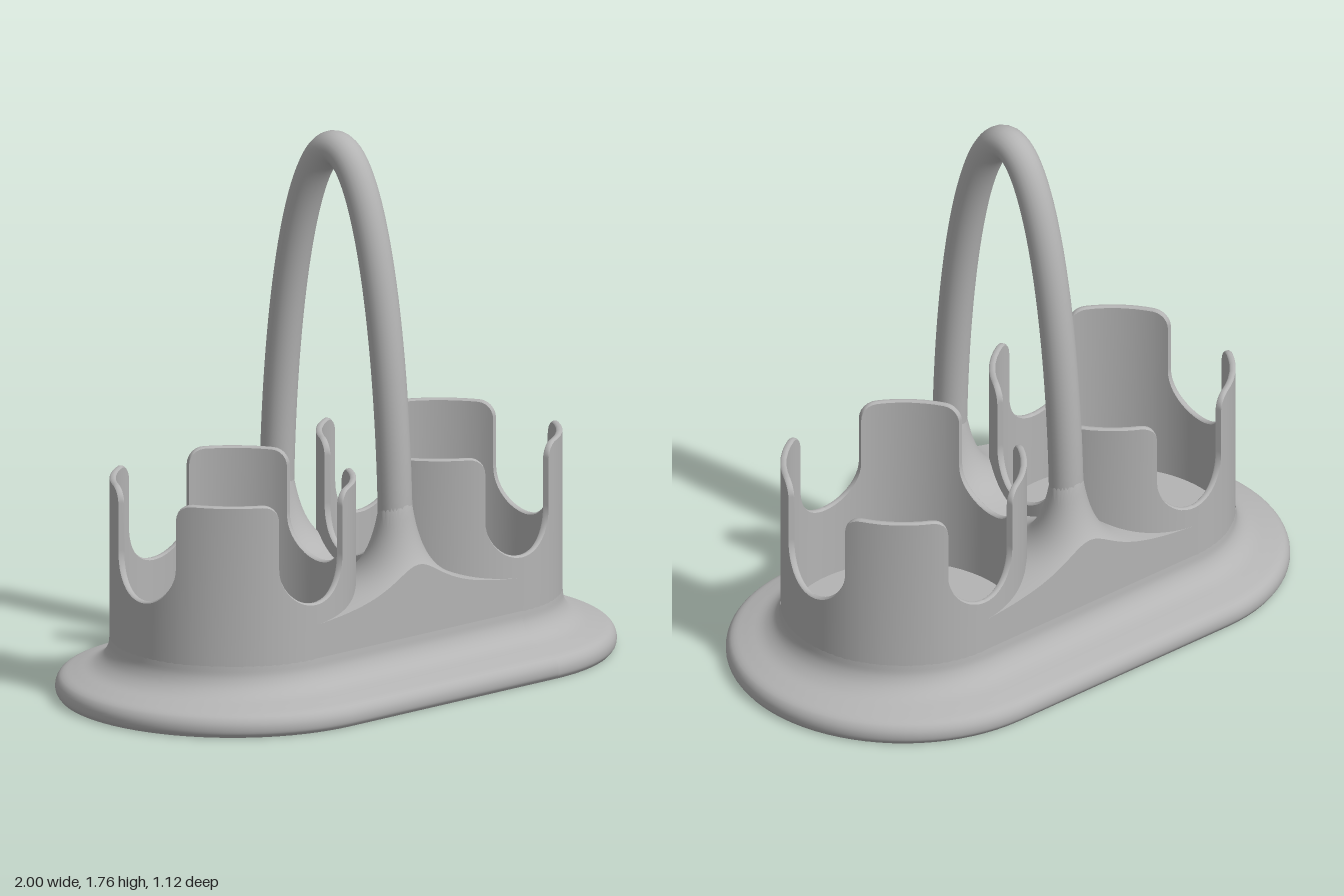
import * as THREE from 'three';

const CX = 0.44;          // cup centre, also half the straight length of the base
const R_OUT = 0.39, R_IN = 0.37;
const FOOT_Z = 0.28;      // where the handle legs meet the body

const grey = new THREE.MeshStandardMaterial({ color: 0xb4b4b4, side: THREE.DoubleSide });
grey.name = 'grey plastic';

// Smooth surface through rows of points of equal length
function loft(name, rows) {
  const n = rows[0].length, pos = rows.flat(2), index = [];
  for (let i = 0; i < rows.length - 1; i++) {
    for (let j = 0; j < n - 1; j++) {
      const a = i * n + j, d = a + n;
      index.push(a, a + 1, d + 1, a, d + 1, d);
    }
  }
  const g = new THREE.BufferGeometry();
  g.setAttribute('position', new THREE.Float32BufferAttribute(pos, 3));
  g.setIndex(index);
  g.computeVertexNormals();
  return part(name, g);
}

function part(name, geometry) {
  const mesh = new THREE.Mesh(geometry, grey);
  mesh.name = name;
  return mesh;
}

// Closed loop of two half circles joined by straight sides
function stadium(r, y) {
  const loop = [], N = 40;
  for (const side of [1, -1]) {
    for (let k = 0; k <= N; k++) {
      const a = Math.PI * k / N;
      loop.push([side * (CX + r * Math.sin(a)), y, side * r * Math.cos(a)]);
    }
  }
  loop.push(loop[0]);
  return loop;
}

// Rim of a cup as [angle, height]: four U notches with four rounded tabs between
function rimOutline() {
  const half = [], notch = 0.135, corner = 0.05, top = 0.71;
  for (let k = 0; k <= 12; k++) {
    const a = Math.PI / 2 * k / 12;
    half.push([notch * Math.sin(a), 0.505 - notch * Math.cos(a)]);
  }
  for (let k = 0; k <= 6; k++) {
    const a = Math.PI / 2 * k / 6;
    half.push([notch + corner * (1 - Math.cos(a)), top - corner * (1 - Math.sin(a))]);
  }
  for (const x of [0.21, 0.24]) half.push([x, top]);
  const eighth = half.map(([x, y]) => [Math.asin(x / R_OUT), y]);
  eighth.push([Math.PI / 4, top]);
  const quarter = [...eighth, ...eighth.slice(0, -1).reverse().map(([t, y]) => [Math.PI / 2 - t, y])];
  const rim = [];
  for (let q = 0; q < 4; q++) {
    for (const [t, y] of quarter) rim.push([t + q * Math.PI / 2, y]);
  }
  return rim;
}

function cup(name, x) {
  const group = new THREE.Group();
  group.name = name;
  const rim = rimOutline();
  const ring = (r, drop, y0) => rim.map(([t, y]) => [r * Math.sin(t), y0 ?? y - drop, r * Math.cos(t)]);
  const e = 0.005;
  group.add(
    loft('cupOuterWall', [ring(R_OUT, 0, 0.1), ring(R_OUT, e)]),
    loft('cupRim', [ring(R_OUT, e), ring(R_OUT - e, 0), ring(R_IN + e, 0), ring(R_IN, e)]),
    loft('cupInnerWall', [ring(R_IN, e), ring(R_IN, 0, 0.1)]),
  );
  const floor = part('cupFloor', new THREE.CircleGeometry(0.38, 64).rotateX(-Math.PI / 2));
  floor.position.y = 0.12;
  group.add(floor);
  group.position.x = x;
  return group;
}

// Height of the web between the cups, flaring up around the handle feet
function webHeight(x, z) {
  const d = Math.max(0.05, Math.hypot(x, Math.abs(z) - FOOT_Z));
  return 0.26 + 0.0176 / d;
}

const STEPS = 48;
function webRow(t) {
  const halfWidth = CX - 0.38 * Math.cos(t), z = R_OUT * Math.sin(t), row = [];
  for (let k = 0; k <= STEPS; k++) {
    const x = halfWidth * (2 * k / STEPS - 1);
    row.push([x, webHeight(x, z), z]);
  }
  return row;
}

export function createModel() {
  const model = new THREE.Group();
  model.name = 'twinCupCaddy';

  // Flared base
  const profile = new THREE.CatmullRomCurve3([
    [0.55, 0], [0.56, 0.015], [0.56, 0.042], [0.545, 0.065], [0.5, 0.082],
    [0.445, 0.1], [0.412, 0.125], [0.395, 0.155], [0.39, 0.19],
  ].map(([r, y]) => new THREE.Vector3(r, y, 0))).getPoints(32);
  model.add(loft('baseFlange', profile.map(p => stadium(p.x, Math.max(0, p.y)))));
  model.add(loft('baseUnderside', [stadium(0, 0), stadium(0.55, 0)]));

  // Cups
  model.add(cup('leftCup', CX), cup('rightCup', -CX));

  // Web between the cups, with flat front and back walls
  const rows = [];
  for (let k = 0; k <= 96; k++) rows.push(webRow(Math.PI / 2 * (1 - k / 48)));
  model.add(loft('web', rows));
  const edge = webRow(Math.PI / 2);
  const front = loft('frontWall', [edge.map(([x, , z]) => [x, 0.15, z]), edge]);
  const back = front.clone();
  back.name = 'backWall';
  back.rotation.y = Math.PI;
  model.add(front, back);

  // Tall arched handle
  const arch = [];
  for (let k = 0; k <= 60; k++) {
    const a = Math.PI * k / 60;
    arch.push(new THREE.Vector3(0, 0.4 + 1.305 * Math.sin(a), FOOT_Z * Math.cos(a)));
  }
  model.add(part('handle', new THREE.TubeGeometry(new THREE.CatmullRomCurve3(arch), 160, 0.055, 24)));

  return model;
}
